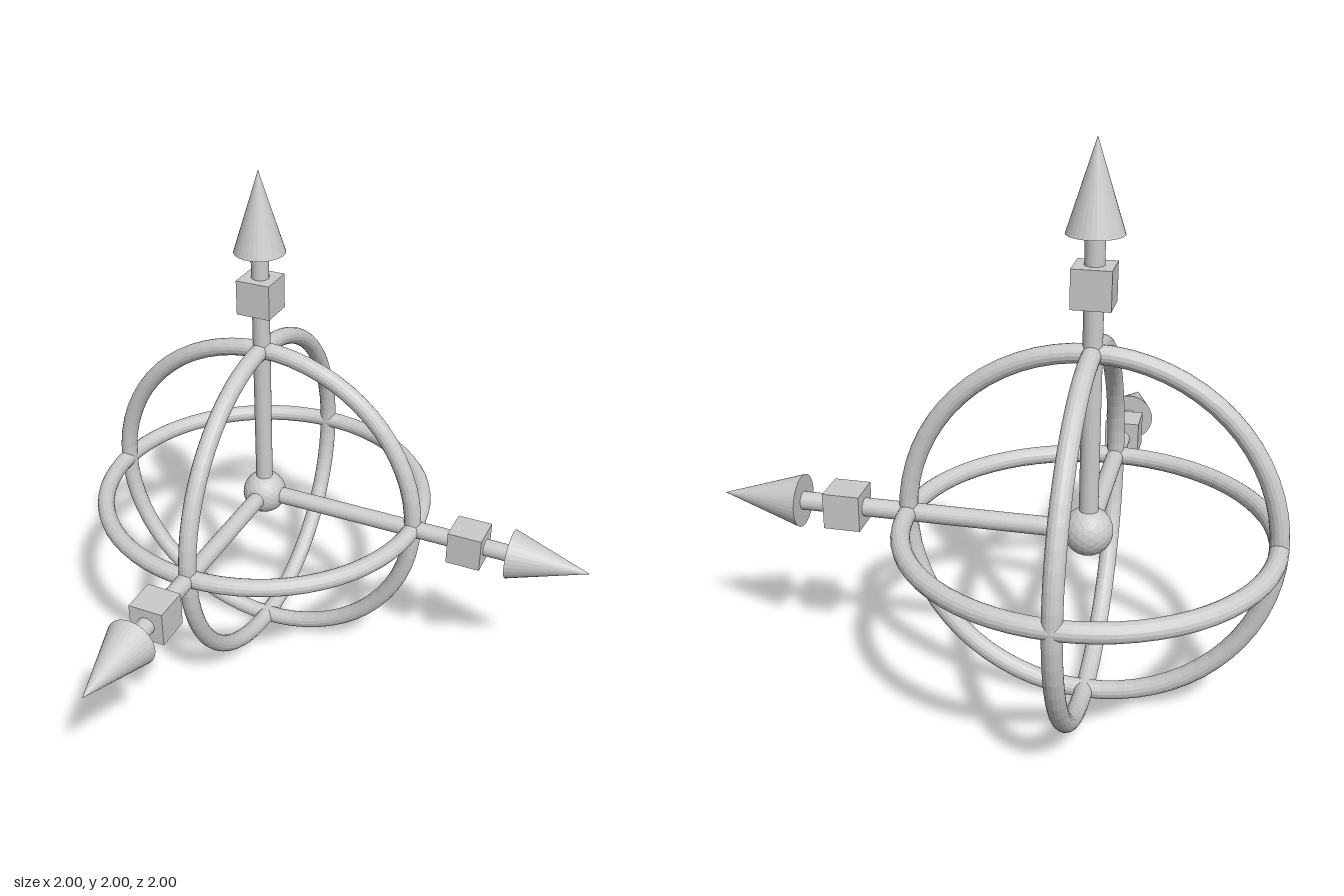
import * as THREE from 'three';

const material = new THREE.MeshStandardMaterial({ color: 0xcccccc, flatShading: true });

function part(parent, name, geometry, y = 0) {
  const mesh = new THREE.Mesh(geometry, material);
  mesh.name = name;
  mesh.position.y = y;
  parent.add(mesh);
  return mesh;
}

// One axis pointing up +y: shaft, scale cube and arrow cone
function createAxis(name) {
  const axis = new THREE.Group();
  axis.name = name;
  part(axis, 'shaft', new THREE.CylinderGeometry(0.033, 0.033, 1.03, 24), 0.515);
  part(axis, 'scaleCube', new THREE.BoxGeometry(0.132, 0.132, 0.132), 0.863);
  part(axis, 'arrowHead', new THREE.ConeGeometry(0.095, 0.3, 32), 1.178);
  return axis;
}

export function createModel() {
  const model = new THREE.Group();
  model.name = 'transformGizmo';
  model.position.set(-0.331, 0.671, -0.331);

  // Central ball
  part(model, 'centreBall', new THREE.IcosahedronGeometry(0.086, 3));

  // Three arrows along +x, +y and +z
  const xAxis = createAxis('xAxis');
  xAxis.rotation.z = -Math.PI / 2;
  const yAxis = createAxis('yAxis');
  const zAxis = createAxis('zAxis');
  zAxis.rotation.x = Math.PI / 2;
  model.add(xAxis, yAxis, zAxis);

  // Three rotation rings, one around each axis
  const ring = new THREE.TorusGeometry(0.636, 0.033, 16, 64);
  part(model, 'zRing', ring);
  part(model, 'xRing', ring).rotation.y = Math.PI / 2;
  part(model, 'yRing', ring).rotation.x = Math.PI / 2;

  const root = new THREE.Group();
  root.add(model);
  return root;
}
